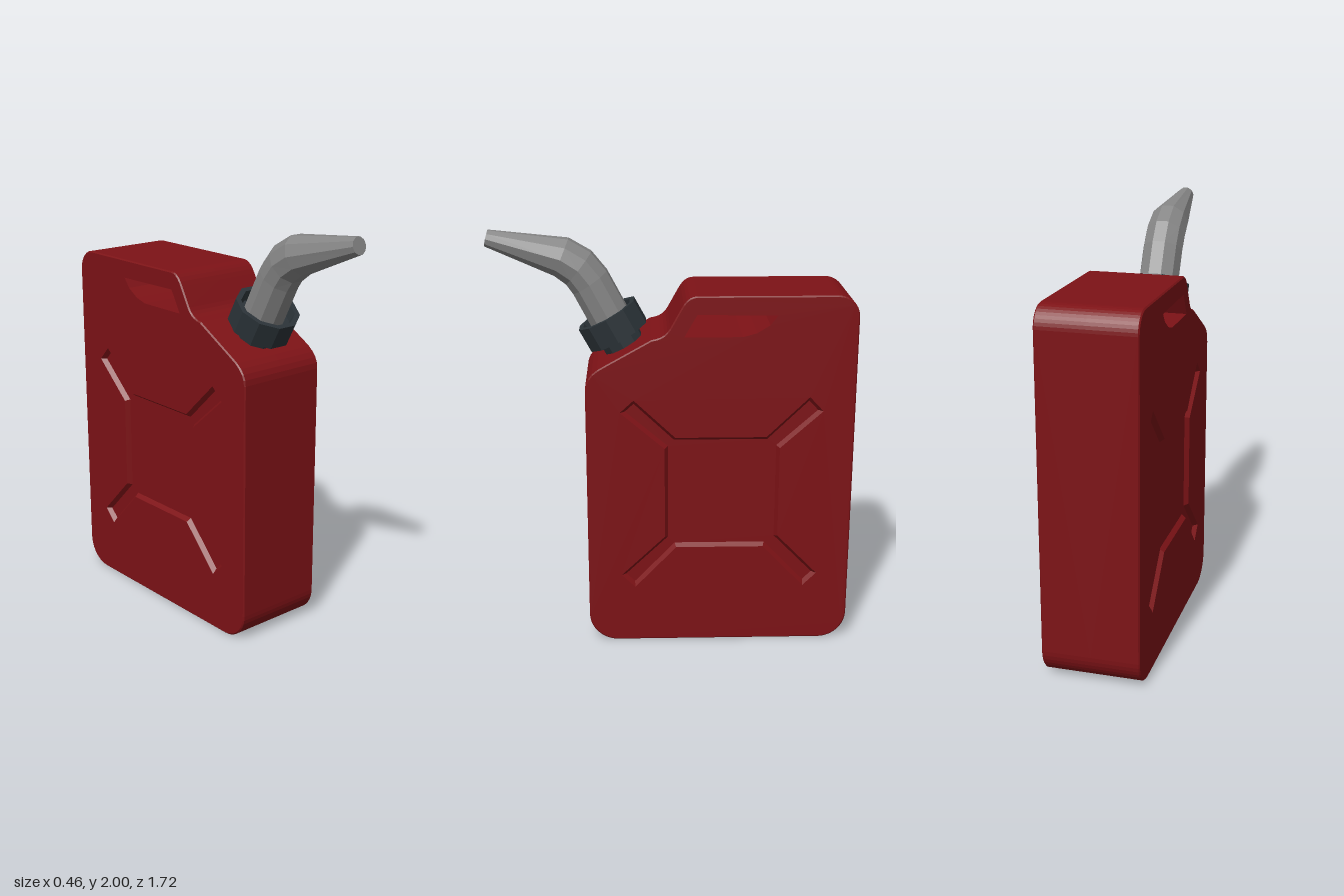
import * as THREE from 'three';
import { mergeGeometries } from 'three/addons/utils/BufferGeometryUtils.js';

const V = (p) => p.map(([a, b]) => new THREE.Vector2(a, b));
const mat = (color) => new THREE.MeshStandardMaterial({ color, flatShading: true });

// Offsets a closed outline to its left by d, with mitred corners
function offset(pts, d) {
  const n = pts.length;
  return pts.map((p, i) => {
    const u = p.clone().sub(pts[(i + n - 1) % n]).normalize();
    const v = pts[(i + 1) % n].clone().sub(p).normalize();
    const m = new THREE.Vector2(-u.y - v.y, u.x + v.x);
    return p.clone().addScaledVector(m, d / (1 + u.dot(v)));
  });
}

function fromPositions(pos) {
  const g = new THREE.BufferGeometry();
  g.setAttribute('position', new THREE.Float32BufferAttribute(pos, 3));
  g.computeVertexNormals();
  return g;
}

// Wall between outline A at depth za and outline B at depth zb
function wall(A, za, B, zb) {
  const pos = [];
  A.forEach((a, i) => {
    const j = (i + 1) % A.length, c = A[j], b = B[i], d = B[j];
    pos.push(a.x, a.y, za, c.x, c.y, za, d.x, d.y, zb, a.x, a.y, za, d.x, d.y, zb, b.x, b.y, zb);
  });
  return fromPositions(pos);
}

// Flat panel with holes at depth z
function panel(pts, z, holes = []) {
  const s = new THREE.Shape(pts);
  s.holes = holes.map((h) => new THREE.Path(h));
  const g = new THREE.ShapeGeometry(s).toNonIndexed();
  g.translate(0, 0, z);
  return fromPositions(Array.from(g.attributes.position.array));
}

// Copy reflected through z = 0, with the corner order reversed
function mirrored(g) {
  const p = g.attributes.position, pos = [];
  for (let i = 0; i < p.count; i += 3)
    for (const k of [i, i + 2, i + 1]) pos.push(p.getX(k), p.getY(k), -p.getZ(k));
  return fromPositions(pos);
}

function makeBody() {
  // Side silhouette: horizontal runs front to back
  const s = new THREE.Shape();
  s.moveTo(-0.26, 0);
  s.lineTo(0.73, 0);
  s.absarc(0.73, 0.135, 0.135, -Math.PI / 2, 0);
  s.lineTo(0.865, 1.63);
  s.absarc(0.765, 1.63, 0.1, 0, Math.PI / 2);
  s.lineTo(0.12, 1.73);
  s.quadraticCurveTo(0.075, 1.73, 0.045, 1.67);
  s.lineTo(-0.005, 1.58);
  s.quadraticCurveTo(-0.03, 1.535, -0.09, 1.528);
  s.lineTo(-0.31, 1.405);
  s.quadraticCurveTo(-0.4, 1.36, -0.4, 1.29);
  s.lineTo(-0.4, 0.14);
  s.absarc(-0.26, 0.14, 0.14, Math.PI, Math.PI * 1.5);
  const outline = s.getPoints(5).filter((p, i, all) =>
    p.distanceTo(all[(i + 1) % all.length]) > 0.002);

  // Handle opening and pressed cross panel, both clockwise
  const handle = V([[0.06, 1.54], [0.12, 1.645], [0.49, 1.64], [0.455, 1.595], [0.395, 1.558], [0.33, 1.54]]).reverse();
  if (!THREE.ShapeUtils.isClockWise(handle)) handle.reverse();
  const cross = V([
    [-0.24, 1.18], [-0.175, 1.24], [0.02, 1.055], [0.45, 1.055],
    [0.65, 1.25], [0.715, 1.18], [0.515, 1.0], [0.515, 0.55],
    [0.71, 0.35], [0.645, 0.285], [0.445, 0.495], [0.025, 0.495],
    [-0.175, 0.285], [-0.24, 0.35], [-0.03, 0.55], [-0.03, 1.0],
  ]);
  const floor = offset(cross, -0.016);

  const h = 0.23, c = 0.006, depth = 0.022;
  const face = offset(outline, c);
  const half = mergeGeometries([
    wall(outline, 0, outline, h - c),
    wall(outline, h - c, face, h),
    wall(handle, 0, handle, h),
    panel(face, h, [handle, cross]),
    wall(floor, h - depth, cross, h),
    panel(floor.slice().reverse(), h - depth),
  ].map((g) => { g.deleteAttribute('uv'); return g; }));
  const body = new THREE.Mesh(mergeGeometries([half, mirrored(half)]), mat(0x7d1216));
  body.name = 'canBody';
  body.rotation.y = Math.PI / 2;
  return body;
}

// Neck and open collar, turned around the tilted filler axis
function makeCollar() {
  const collar = new THREE.Group();
  collar.name = 'collar';
  const material = mat(0x2b3338);
  const lathe = (name, pts) => {
    const m = new THREE.Mesh(new THREE.LatheGeometry(V(pts), 10, Math.PI / 10), material);
    m.name = name;
    collar.add(m);
  };
  lathe('neck', [[0.1, -0.19], [0.1, -0.05]]);
  lathe('collarRing', [[0, -0.06], [0.155, -0.06], [0.155, 0.06], [0.13, 0.06], [0.12, 0.01], [0, 0.01]]);
  collar.position.set(0, 1.55, 0.27);
  collar.rotation.x = 0.5;
  return collar;
}

// Bent, tapering spout: a cylinder whose rows follow stations along the bend
function makeSpout() {
  // z, y, radius, tilt from vertical; tip first
  const rows = [
    [0.85, 1.962, 0.04, 1.32], [0.505, 1.873, 0.096, 1.18], [0.425, 1.822, 0.1, 0.9],
    [0.373, 1.755, 0.1, 0.6], [0.26, 1.54, 0.1, 0.5],
  ];
  const n = rows.length - 1;
  const g = new THREE.CylinderGeometry(1, 1, 1, 10, n, false, Math.PI / 10);
  const p = g.attributes.position;
  for (let i = 0; i < p.count; i++) {
    const [z, y, r, tilt] = rows[Math.round((0.5 - p.getY(i)) * n)];
    const w = p.getZ(i) * r;
    p.setXYZ(i, p.getX(i) * r, y - w * Math.sin(tilt), z + w * Math.cos(tilt));
  }
  g.computeVertexNormals();
  const spout = new THREE.Mesh(g, mat(0x858585));
  spout.name = 'spout';
  return spout;
}

export function createModel() {
  const model = new THREE.Group();
  model.name = 'fuelCan';
  model.add(makeBody(), makeCollar(), makeSpout());
  return model;
}
